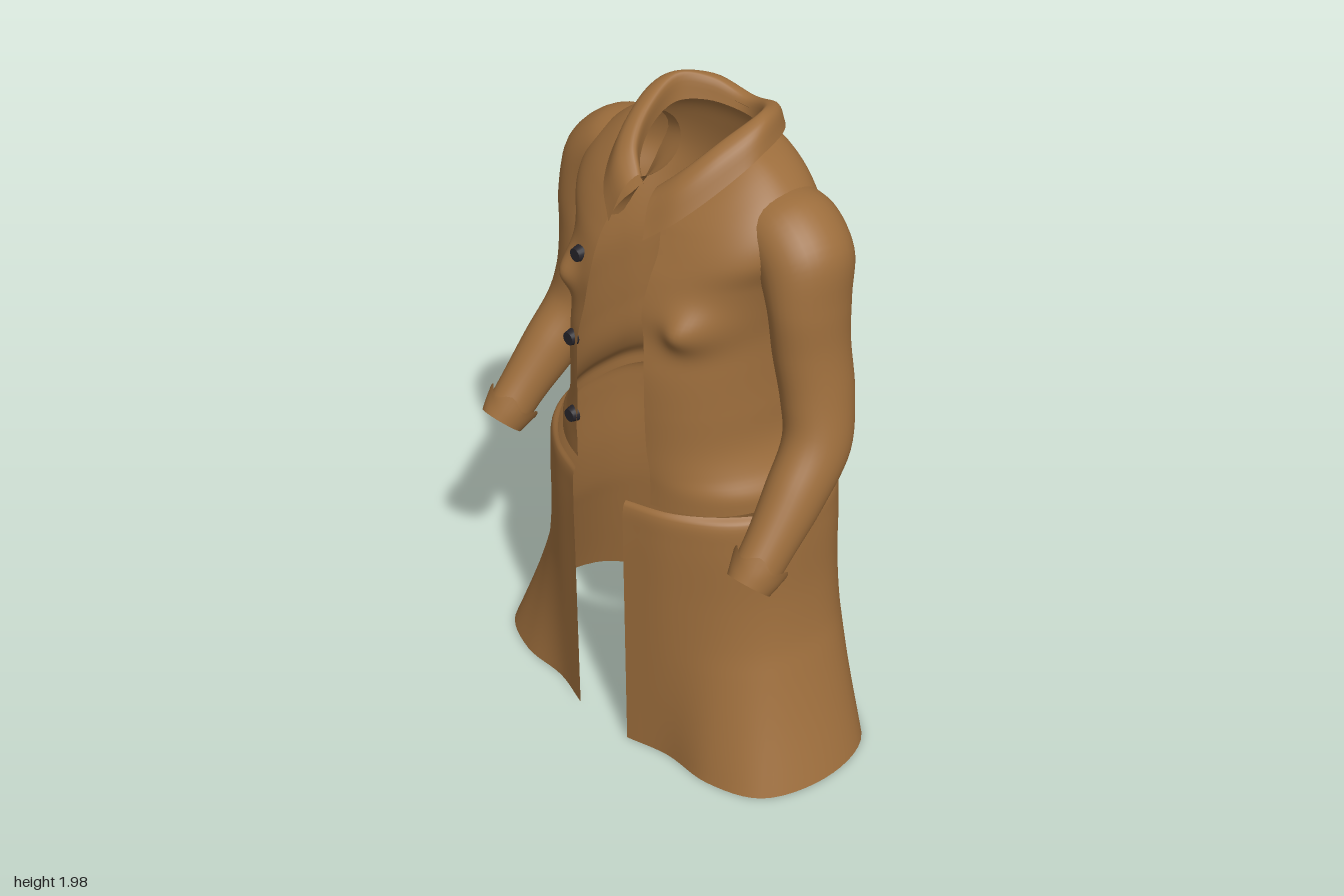
import * as THREE from 'three';
import { mergeVertices } from 'three/addons/utils/BufferGeometryUtils.js';

const V = (x, y, z) => new THREE.Vector3(x, y, z);

// Skin a grid of points (rows of equal length) into a smooth surface
function skin(rows) {
  const n = rows[0].length, index = [];
  for (let r = 0; r < rows.length - 1; r++) {
    for (let c = 0; c < n - 1; c++) {
      const a = r * n + c, b = a + n;
      index.push(a, b, a + 1, a + 1, b, b + 1);
    }
  }
  let g = new THREE.BufferGeometry().setFromPoints(rows.flat());
  g.setIndex(index);
  g = mergeVertices(g, 1e-5);
  g.computeVertexNormals();
  return g;
}

// Refine a coarse grid with splines in both directions
function refine(rows, nu, nv) {
  const fine = rows.map(r => {
    const c = new THREE.CatmullRomCurve3(r);
    return c.getPoints(nu);
  });
  const columns = fine[0].map((_, i) => new THREE.CatmullRomCurve3(fine.map(r => r[i])).getPoints(nv));
  return columns[0].map((_, j) => columns.map(c => c[j]));
}

// Half row from front opening to centre back, continued to the other side
const mirrorRow = half => half.concat(half.slice(0, -1).reverse().map(p => V(-p.x, p.y, p.z)));

// Torso levels: side height, half width, front z, back z, opening half width, front height
const LEVELS = [
  [0.905, 0.425, 0.32, -0.295, 0.16, 0.89],
  [0.95, 0.42, 0.32, -0.29, 0.16, 0.95],
  [1.0, 0.385, 0.325, -0.27, 0.16, 1.0],
  [1.07, 0.357, 0.328, -0.26, 0.15, 1.07],
  [1.2, 0.345, 0.33, -0.25, 0.145, 1.2],
  [1.32, 0.34, 0.325, -0.243, 0.14, 1.32],
  [1.42, 0.34, 0.305, -0.24, 0.125, 1.42],
  [1.5, 0.35, 0.295, -0.242, 0.112, 1.5],
  [1.6, 0.37, 0.265, -0.258, 0.112, 1.59],
  [1.7, 0.4, 0.23, -0.26, 0.11, 1.655],
  [1.79, 0.37, 0.205, -0.25, 0.095, 1.7],
  [1.86, 0.3, 0.185, -0.235, 0.075, 1.735],
  [1.905, 0.22, 0.165, -0.21, 0.055, 1.76],
  [1.925, 0.155, 0.14, -0.19, 0.045, 1.78]
];
const levelAt = new THREE.CubicInterpolant(LEVELS.map(l => l[0]), LEVELS.flatMap(l => l.slice(1)), 5);
const POWER = 2.4, MID = -0.04;

function torsoPoint(level, sideY, angle) {
  const [w, zF, zB, , yF] = level;
  const s = Math.max(0, Math.sin(angle)), c = Math.cos(angle);
  const x = w * s ** (2 / POWER);
  const y = sideY + (yF - sideY) * Math.max(c, 0) ** 1.2;
  let z = MID + ((c > 0 ? zF : zB) - MID) * Math.abs(c) ** (2 / POWER);
  // Chest fullness in front, small pinched tuck at the back
  if (c > 0) z += 0.055 * Math.exp(-(((x - 0.25) / 0.06) ** 2) - ((y - 1.47) / 0.06) ** 2);
  else z += 0.05 * Math.exp(-((x / 0.03) ** 2) - ((y - 1.48) / 0.045) ** 2);
  return V(x, y, z);
}
const angleAt = (level, x) => Math.asin((x / level[0]) ** (POWER / 2));

function torsoGeometry() {
  const rows = [], count = 84, top = LEVELS.at(-1)[0], low = LEVELS[0][0];
  for (let i = 0; i <= count; i++) {
    const y = low + (top - low) * i / count;
    const level = Array.from(levelAt.evaluate(y));
    const start = angleAt(level, level[3]), half = [];
    for (let j = 0; j <= 60; j++) half.push(torsoPoint(level, y, start + (Math.PI - start) * j / 60));
    rows.push(mirrorRow(half));
  }
  return skin(rows);
}

// Skirt blends from a waist outline to a flared hem
function skirtGeometry() {
  const lip = [[0.11, 0.355], [0.25, 0.3], [0.37, 0.195], [0.435, 0.09], [0.45, -0.03], [0.42, -0.14], [0.33, -0.235], [0.17, -0.325], [0, -0.325]];
  const waist = [[0.11, 0.368], [0.25, 0.32], [0.39, 0.22], [0.46, 0.1], [0.475, -0.03], [0.45, -0.15], [0.34, -0.27], [0.17, -0.36], [0, -0.355]];
  const hem = [[0.11, 0.368], [0.25, 0.33], [0.42, 0.325], [0.58, 0.25], [0.645, 0.05], [0.6, -0.15], [0.42, -0.27], [0.19, -0.372], [0, -0.365]];
  const row = (y, from, to, t) => mirrorRow(from.map((p, i) =>
    V(p[0] + (to[i][0] - p[0]) * t, y, p[1] + (to[i][1] - p[1]) * t)));
  return skin(refine([
    row(0.903, lip, lip, 0), row(0.885, lip, waist, 0.7), row(0.8, waist, hem, 0),
    row(0.6, waist, hem, 0.04), row(0.45, waist, hem, 0.16), row(0.35, waist, hem, 0.32),
    row(0.2, waist, hem, 0.6), row(0.01, waist, hem, 1)
  ], 96, 42));
}

// Folded collar: inner stand, crest, fold and outer edge
function collarGeometry() {
  const edges = [
    [[0.04, 1.775, 0.14], [0.1, 1.82, 0.1], [0.14, 1.88, 0.02], [0.15, 1.915, -0.08], [0.1, 1.915, -0.15], [0, 1.905, -0.185]],
    [[0.04, 1.815, 0.155], [0.1, 1.875, 0.115], [0.145, 1.945, 0.02], [0.16, 1.99, -0.1], [0.1, 1.97, -0.175], [0, 1.935, -0.205]],
    [[0.05, 1.79, 0.2], [0.125, 1.845, 0.16], [0.18, 1.92, 0.06], [0.2, 1.98, -0.08], [0.13, 1.97, -0.2], [0, 1.937, -0.235]],
    [[0.07, 1.69, 0.243], [0.15, 1.76, 0.19], [0.212, 1.845, 0.08], [0.233, 1.91, -0.04], [0.16, 1.92, -0.2], [0, 1.91, -0.255]]
  ];
  return skin(refine(edges.map(e => mirrorRow(e.map(p => V(...p)))), 72, 15));
}

// Tube with an oval section per key: centre x, y, z, side radius, depth radius
function ovalTube(keys, side, nv, ripple = 0) {
  const path = new THREE.CatmullRomCurve3(keys.map(k => V(k[0], k[1], k[2])));
  const rows = keys.map((k, i) => {
    const t = path.getTangent(i / (keys.length - 1));
    const depth = V(0, 0, 1).addScaledVector(t, -t.z).normalize();
    const across = t.clone().cross(depth);
    const row = [];
    for (let j = 0; j <= 32; j++) {
      const a = (j % 32) / 32 * Math.PI * 2;
      const p = V(k[0], k[1], k[2])
        .addScaledVector(across, k[3] * Math.cos(a))
        .addScaledVector(depth, k[4] * Math.sin(a))
        .addScaledVector(t, i === 0 ? ripple * Math.sin(a * 5) : 0);
      p.x *= side;
      row.push(p);
    }
    return row;
  });
  const columns = rows[0].map((_, i) => new THREE.CatmullRomCurve3(rows.map(r => r[i])).getPoints(nv));
  return skin(columns[0].map((_, j) => columns.map(c => c[j])));
}

const SLEEVE = [
  [0.25, 1.755, -0.06, 0.09, 0.13], [0.34, 1.725, -0.055, 0.115, 0.14],
  [0.405, 1.66, -0.045, 0.122, 0.14], [0.437, 1.55, -0.03, 0.097, 0.13],
  [0.45, 1.42, -0.03, 0.094, 0.12], [0.48, 1.27, -0.03, 0.092, 0.113],
  [0.51, 1.14, 0.0, 0.09, 0.105], [0.528, 1.02, 0.1, 0.083, 0.092],
  [0.54, 0.91, 0.2, 0.07, 0.078], [0.545, 0.822, 0.28, 0.064, 0.072]
];
const CUFF = [
  [0.543, 0.868, 0.238, 0.082, 0.085], [0.545, 0.84, 0.264, 0.074, 0.077], [0.546, 0.815, 0.287, 0.064, 0.071]
];

export function createModel() {
  const cloth = new THREE.MeshStandardMaterial({ color: 0x9c6d3c, side: THREE.DoubleSide });
  cloth.name = 'brown cloth';
  const dark = new THREE.MeshStandardMaterial({ color: 0x26242a });
  dark.name = 'dark button';

  const coat = new THREE.Group();
  coat.name = 'coat';
  const add = (name, geometry, material = cloth) => {
    const mesh = new THREE.Mesh(geometry, material);
    mesh.name = name;
    coat.add(mesh);
    return mesh;
  };

  add('torso', torsoGeometry());
  add('skirt', skirtGeometry());
  add('collar', collarGeometry());
  for (const [name, side] of [['left', 1], ['right', -1]]) {
    add(name + 'Sleeve', ovalTube(SLEEVE, side, 54));
    add(name + 'Cuff', ovalTube(CUFF, side, 8, 0.012));
  }

  // Buttons sit on the right front panel
  [1.55, 1.29, 1.03].forEach((y, i) => {
    const level = Array.from(levelAt.evaluate(y));
    const p = torsoPoint(level, y, angleAt(level, 0.18));
    const button = add('button' + (i + 1), new THREE.CylinderGeometry(0.02, 0.025, 0.022, 20), dark);
    button.rotation.x = Math.PI / 2;
    button.position.set(-0.18, y, p.z + 0.008);
  });
  return coat;
}
